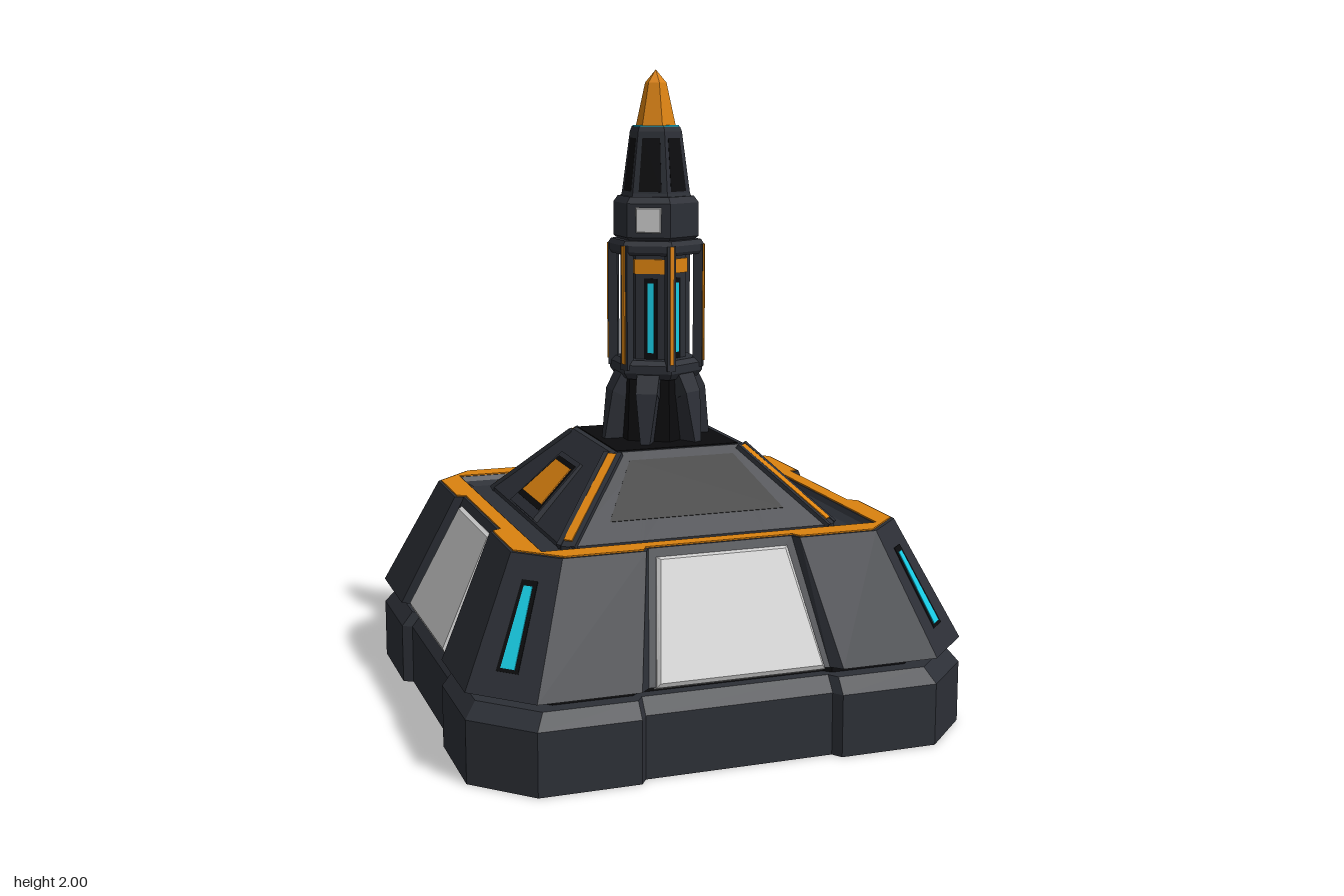
import * as THREE from 'three';
import { ConvexGeometry } from 'three/addons/geometries/ConvexGeometry.js';

const paint = (color) => new THREE.MeshStandardMaterial({ color, flatShading: true });
const V = (x, y, z) => new THREE.Vector3(x, y, z);

// Four-sided outline with cut corners (c) and a shallow notch (half widths n0, n1, depth d) per side
function outline(h, c, n0, n1, d) {
  const side = [[c - h, h], [-n0, h], [-n1, h - d], [n1, h - d], [n0, h], [h - c, h]];
  const pts = [];
  for (let k = 0; k < 4; k++) {
    const s = [0, 1, 0, -1][k], q = [1, 0, -1, 0][k];
    for (const [x, z] of side) pts.push([x * q + z * s, z * q - x * s]);
  }
  return pts;
}

// Skin between stacked outlines, each given as [points, y]
function loft(rings, capped = true) {
  const pos = [];
  const n = rings[0][0].length;
  const at = ([pts, y], i) => [pts[i % n][0], y, pts[i % n][1]];
  for (let r = 0; r < rings.length - 1; r++) {
    for (let i = 0; i < n; i++) {
      const a = at(rings[r], i), b = at(rings[r], i + 1);
      const c = at(rings[r + 1], i + 1), d = at(rings[r + 1], i);
      pos.push(...a, ...b, ...c, ...a, ...c, ...d);
    }
  }
  if (capped) {
    const lo = rings[0], hi = rings[rings.length - 1];
    for (let i = 0; i < n; i++) {
      pos.push(0, hi[1], 0, ...at(hi, i), ...at(hi, i + 1));
      pos.push(0, lo[1], 0, ...at(lo, i + 1), ...at(lo, i));
    }
  }
  const g = new THREE.BufferGeometry();
  g.setAttribute('position', new THREE.Float32BufferAttribute(pos, 3));
  g.computeVertexNormals();
  return g;
}

// Trapezoid plate facing +z: half width, height and distance at its bottom and top edges
function plate([w0, y0, r0], [w1, y1, r1], depth = 0.03, bevel = 0) {
  const nrm = V(0, r0 - r1, y1 - y0).normalize();
  const up = V(0, y1 - y0, r1 - r0).normalize();
  const pts = [];
  for (const s of [-1, 1]) {
    const lo = V(s * w0, y0, r0), hi = V(s * w1, y1, r1);
    pts.push(lo.clone().addScaledVector(up, bevel).add(V(-s * bevel, 0, 0)));
    pts.push(hi.clone().addScaledVector(up, -bevel).add(V(-s * bevel, 0, 0)));
    if (bevel) pts.push(lo.clone().addScaledVector(nrm, -bevel), hi.clone().addScaledVector(nrm, -bevel));
    pts.push(lo.clone().addScaledVector(nrm, -depth), hi.clone().addScaledVector(nrm, -depth));
  }
  return new ConvexGeometry(pts);
}

// Six-sided turned part, corners on the z axis
const hex = (...profile) => new THREE.LatheGeometry(profile.map(([r, y]) => new THREE.Vector2(r, y)), 6);

export function createModel() {
  const model = new THREE.Group();
  const dark = paint(0x2c2f36), black = paint(0x0b0b0d), grey = paint(0xcccccc);
  const orange = paint(0xdb820f), cyan = paint(0x18cbe4);

  const add = (name, geo, mat, angle = 0, shift = 0) => {
    const m = new THREE.Mesh(geo, mat);
    m.name = name;
    m.rotation.y = angle;
    m.translateX(shift);
    model.add(m);
    return m;
  };

  // Foundation and dark gap above it
  const foot = outline(0.78, 0.165, 0.31, 0.29, 0.03);
  add('foundation', loft([[foot, 0], [foot, 0.19], [outline(0.745, 0.155, 0.31, 0.29, 0.03), 0.235]]), dark);
  const neck = outline(0.7, 0.15, 0.31, 0.29, 0.02);
  add('gap', loft([[neck, 0.23], [neck, 0.28]]), black);

  // Sloped skirt with a sunken square in its top
  const square = (h) => outline(h, 0, 0.24, 0.22, 0);
  add('skirt', loft([
    [outline(0.78, 0.165, 0.31, 0.28, 0.03), 0.27],
    [outline(0.61, 0.12, 0.24, 0.225, 0.027), 0.63],
    [square(0.525), 0.63], [square(0.515), 0.615], [square(0.49), 0.602],
  ]), dark);
  const rim = outline(0.602, 0.12, 0.245, 0.23, 0.027);
  add('rimBand', loft([[rim, 0.629], [rim, 0.634], [square(0.53), 0.634], [square(0.53), 0.629]], false), orange);

  // Pyramid deck
  add('pyramid', loft([
    [outline(0.44, 0.02, 0.2, 0.19, 0), 0.6],
    [outline(0.44, 0.02, 0.2, 0.19, 0), 0.615],
    [outline(0.22, 0.02, 0.1, 0.09, 0), 0.84],
  ]), dark);
  add('deckTop', new THREE.BoxGeometry(0.4, 0.01, 0.42).translate(0, 0.838, 0), black);

  for (let k = 0; k < 4; k++) {
    const a = k * Math.PI / 2;
    // Side armour
    add('sidePanel', plate([0.26, 0.275, 0.768], [0.205, 0.61, 0.604], 0.04, 0.01), grey, a);
    // Corner lights in dark frames
    const c = a + Math.PI / 4;
    add('lightFrame', plate([0.036, 0.335, 0.951], [0.026, 0.567, 0.817], 0.02), black, c);
    add('cornerLight', plate([0.023, 0.345, 0.948], [0.014, 0.553, 0.828], 0.02), cyan, c);
    // Ridge strips between low rails
    add('ridgeStrip', plate([0.014, 0.632, 0.594], [0.014, 0.838, 0.306], 0.02), orange, c);
    for (const s of [-1, 1]) {
      add('ridgeRail', plate([0.008, 0.618, 0.608], [0.008, 0.842, 0.302], 0.03), dark, c, s * 0.023);
    }
    if (k % 2 === 0) {
      // Black windows at front and back
      add('deckWindow', plate([0.28, 0.668, 0.391], [0.17, 0.818, 0.245], 0.02), black, a);
    } else {
      // Hatches at the sides
      add('hatchFrame', plate([0.14, 0.632, 0.45], [0.105, 0.787, 0.285], 0.06), dark, a);
      add('hatchInset', plate([0.125, 0.655, 0.428], [0.092, 0.777, 0.298], 0.02), black, a);
      add('hatch', plate([0.112, 0.67, 0.416], [0.083, 0.768, 0.312], 0.02), orange, a);
    }
  }

  // Tower foot, cage rings and core
  add('towerFoot', hex([0.135, 0.83], [0.125, 1.06]), black);
  add('lowerRing', hex([0, 1.04], [0.135, 1.04], [0.15, 1.06], [0.15, 1.085], [0.135, 1.1], [0, 1.1]), dark);
  add('core', hex([0.097, 1.08], [0.097, 1.45]), dark);
  add('coreBand', hex([0.097, 1.37], [0.102, 1.37], [0.102, 1.415], [0.097, 1.415]), orange);
  add('upperRing', hex([0, 1.43], [0.148, 1.43], [0.155, 1.44], [0.155, 1.46], [0.145, 1.475], [0, 1.475]), dark);

  // Collar, upper stage and tip
  add('collar', hex([0.118, 1.47], [0.137, 1.485], [0.137, 1.59], [0.122, 1.61], [0, 1.61]), dark);
  add('upperStage', hex([0.115, 1.6], [0.109, 1.62], [0.083, 1.81], [0.077, 1.825], [0, 1.825]), dark);
  add('lightRing', hex([0.074, 1.82], [0.074, 1.829], [0, 1.829]), cyan);
  add('tip', hex([0.064, 1.825], [0.034, 1.96], [0, 2]), orange);

  for (let k = 0; k < 6; k++) {
    const corner = k * Math.PI / 3, face = corner + Math.PI / 6;
    // Buttresses
    add('buttress', plate([0.014, 0.835, 0.178], [0.034, 1.0, 0.156], 0.06), dark, face);
    add('buttressCap', plate([0.034, 1.0, 0.156], [0.036, 1.065, 0.122], 0.05), dark, face);
    // Cage posts with thin orange edges
    add('post', plate([0.014, 1.07, 0.152], [0.014, 1.46, 0.152], 0.03), dark, corner);
    add('postTrim', plate([0.006, 1.09, 0.157], [0.006, 1.46, 0.157], 0.01), orange, corner);
    // Core lights
    add('coreLightFrame', plate([0.021, 1.1, 0.0855], [0.021, 1.355, 0.0855], 0.01), black, face);
    add('coreLight', plate([0.01, 1.12, 0.088], [0.01, 1.34, 0.088], 0.01), cyan, face);
    // Upper stage windows
    add('upperWindow', plate([0.036, 1.625, 0.0945], [0.028, 1.79, 0.075], 0.01), black, face);
    // Collar plates on every other face
    if (k % 2 === 1) add('collarPlate', plate([0.04, 1.5, 0.123], [0.04, 1.578, 0.123], 0.02, 0.003), grey, face);
  }
  return model;
}
